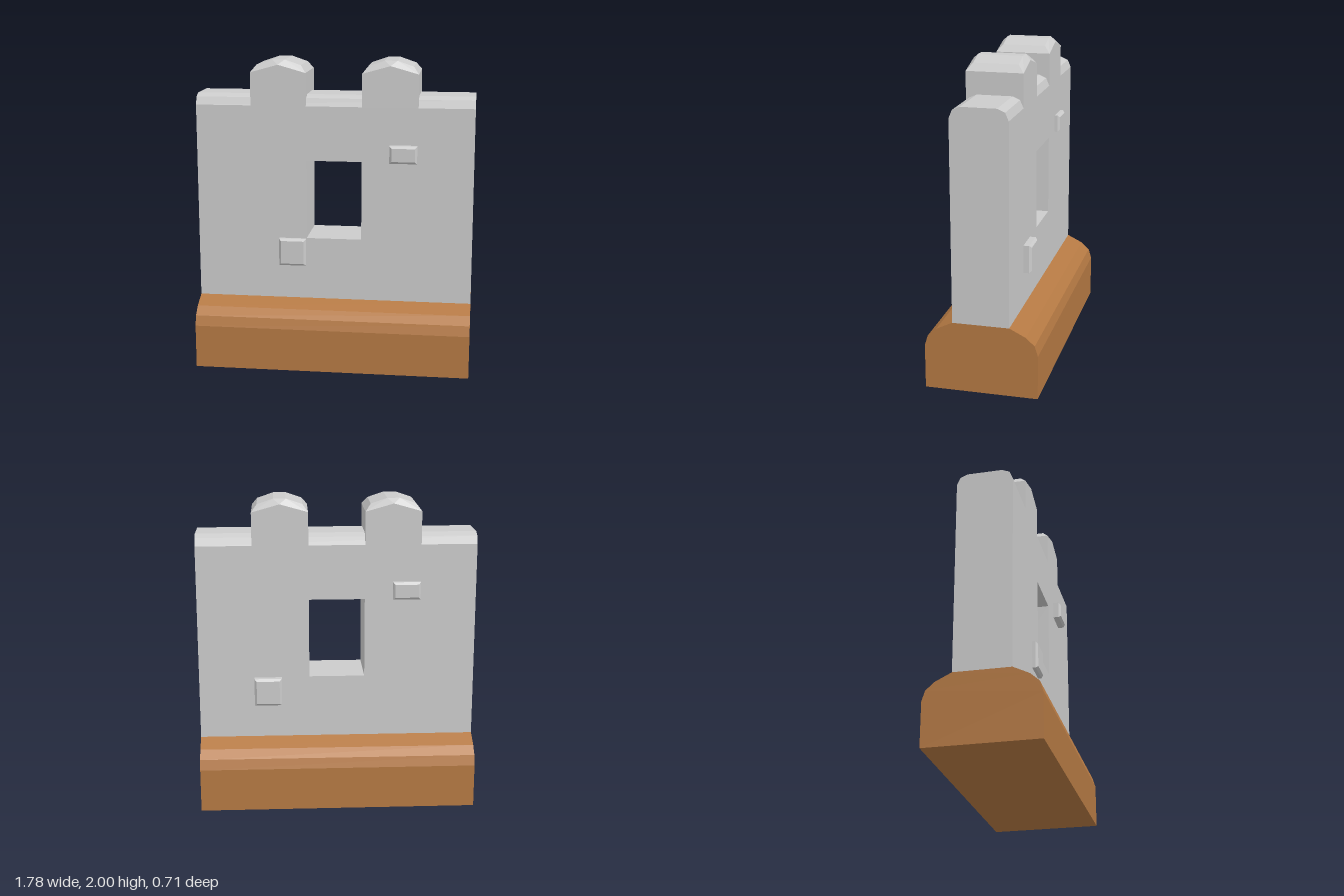
import * as THREE from 'three';
import { ConvexGeometry } from 'three/addons/geometries/ConvexGeometry.js';

const HALF_X = 0.89, HALF_Z = 0.178;

export function createModel() {
  const model = new THREE.Group();
  model.name = 'castleWall';
  const stone = new THREE.MeshStandardMaterial({ color: 0xcccccc, flatShading: true });
  const earth = new THREE.MeshStandardMaterial({ color: 0xb57943, flatShading: true });

  const add = (name, geometry, material) => {
    const mesh = new THREE.Mesh(geometry, material);
    mesh.name = name;
    model.add(mesh);
    return mesh;
  };

  // Extrudes a mirrored (z, y) half profile along the full wall length.
  const alongX = (half) => {
    const points = [...half, ...half.map(([z, y]) => [-z, y]).reverse()];
    const shape = new THREE.Shape(points.map(([z, y]) => new THREE.Vector2(z, y)));
    const geometry = new THREE.ExtrudeGeometry(shape, { depth: 2 * HALF_X, bevelEnabled: false });
    return geometry.translate(0, 0, -HALF_X).rotateY(Math.PI / 2);
  };

  const rectangle = (Type, x0, y0, x1, y1) => new Type([
    new THREE.Vector2(x0, y0), new THREE.Vector2(x1, y0),
    new THREE.Vector2(x1, y1), new THREE.Vector2(x0, y1),
  ]);

  // Earth bank with sloped shoulders
  add('base', alongX([[0.355, 0], [0.355, 0.28], [0.335, 0.345], [0.28, 0.395], [HALF_Z, 0.445]]), earth);

  // Wall with a window opening
  const outline = rectangle(THREE.Shape, -HALF_X, 0.445, HALF_X, 1.71);
  outline.holes.push(rectangle(THREE.Path, -0.178, 0.85, 0.178, 1.36));
  const wall = new THREE.ExtrudeGeometry(outline, { depth: 2 * HALF_Z, bevelEnabled: false });
  add('wall', wall.translate(0, 0, -HALF_Z), stone);

  // Bevelled top edge of the wall
  add('wallTop', alongX([[HALF_Z, 1.71], [0.157, 1.76], [0.11, 1.78]]), stone);

  // Battlements with bevelled, arched tops
  const points = [];
  for (const sz of [-1, 1]) {
    points.push(new THREE.Vector3(0, 1.97, sz * HALF_Z));
    for (const sx of [-1, 1]) {
      points.push(
        new THREE.Vector3(sx * 0.178, 1.71, sz * HALF_Z),
        new THREE.Vector3(sx * 0.178, 1.92, sz * HALF_Z),
        new THREE.Vector3(sx * 0.143, 1.965, sz * 0.14),
        new THREE.Vector3(sx * 0.04, 2, sz * 0.14),
      );
    }
  }
  const battlement = new ConvexGeometry(points);
  for (const [name, x] of [['leftBattlement', 0.357], ['rightBattlement', -0.357]]) {
    add(name, battlement, stone).position.x = x;
  }

  // Protruding bevelled stones: x0, x1, y0, y1, outer z
  const bevel = 0.014;
  const stones = {
    frontUpperStone: [0.357, 0.533, 1.36, 1.472, 0.229],
    frontLowerStone: [-0.357, -0.18, 0.668, 0.847, 0.213],
    backUpperStone: [-0.533, -0.357, 1.36, 1.472, -0.213],
    backLowerStone: [0.357, 0.533, 0.668, 0.847, -0.229],
  };
  for (const [name, [x0, x1, y0, y1, z]] of Object.entries(stones)) {
    const face = rectangle(THREE.Shape, x0 + bevel, y0 + bevel, x1 - bevel, y1 - bevel);
    const depth = 0.08;
    const geometry = new THREE.ExtrudeGeometry(face, {
      depth, bevelSize: bevel, bevelThickness: bevel, bevelSegments: 1,
    });
    geometry.translate(0, 0, z > 0 ? z - depth - bevel : z + bevel);
    add(name, geometry, stone);
  }

  return model;
}
